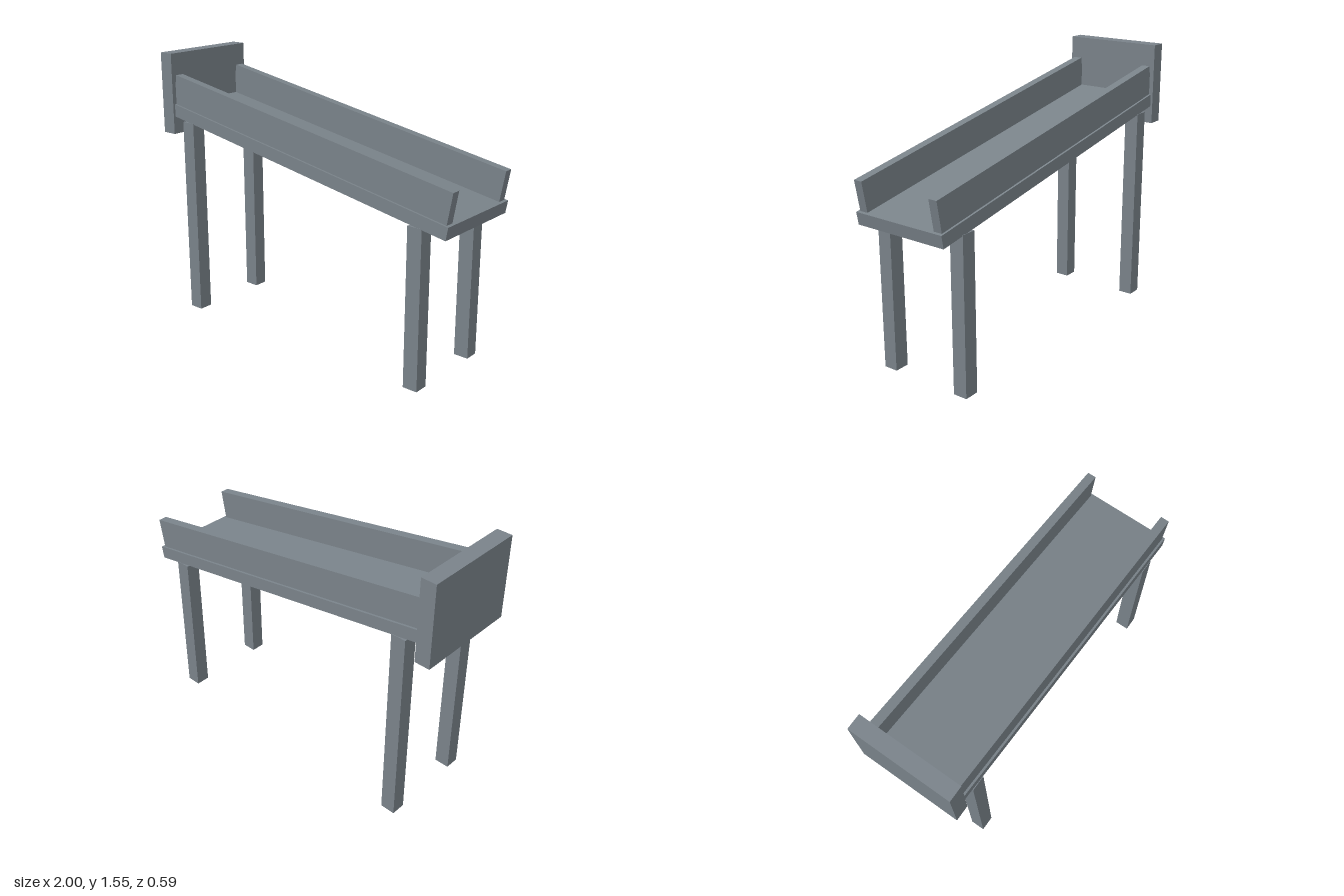
import * as THREE from 'three';

export function createModel() {
  const model = new THREE.Group();
  const slate = new THREE.MeshStandardMaterial({ color: 0x7a838a });
  slate.name = 'slate grey';

  // Box given by its lower and upper corners
  const box = (parent, name, [x0, y0, z0], [x1, y1, z1]) => {
    const mesh = new THREE.Mesh(new THREE.BoxGeometry(x1 - x0, y1 - y0, z1 - z0), slate);
    mesh.position.set((x0 + x1) / 2, (y0 + y1) / 2, (z0 + z1) / 2);
    mesh.name = name;
    parent.add(mesh);
  };

  // Upright board at the high end
  box(model, 'endBoard', [-1, 1.077, -0.293], [-0.913, 1.548, 0.293]);

  // Sloping trough, pivoted at the lower corner of its low end
  const trough = new THREE.Group();
  trough.name = 'trough';
  trough.position.set(0.975, 0.847, 0);
  trough.rotation.z = THREE.MathUtils.degToRad(-10);
  model.add(trough);
  box(trough, 'deck', [-1.95, 0, -0.28], [0, 0.071, 0.28]);

  for (const [side, s] of [['front', 1], ['back', -1]]) {
    // Rail along each edge of the deck
    const rail = s * 0.243;
    box(trough, side + 'Rail', [-1.95, 0.07, rail - 0.025], [-0.017, 0.241, rail + 0.025]);

    // Tall leg under the high end, short leg under the low end
    const leg = s * 0.242;
    box(model, side + 'TallLeg', [-0.844, 0, leg - 0.041], [-0.759, 1.158, leg + 0.041]);
    box(model, side + 'ShortLeg', [0.756, 0, leg - 0.041], [0.841, 0.877, leg + 0.041]);
  }

  return model;
}
